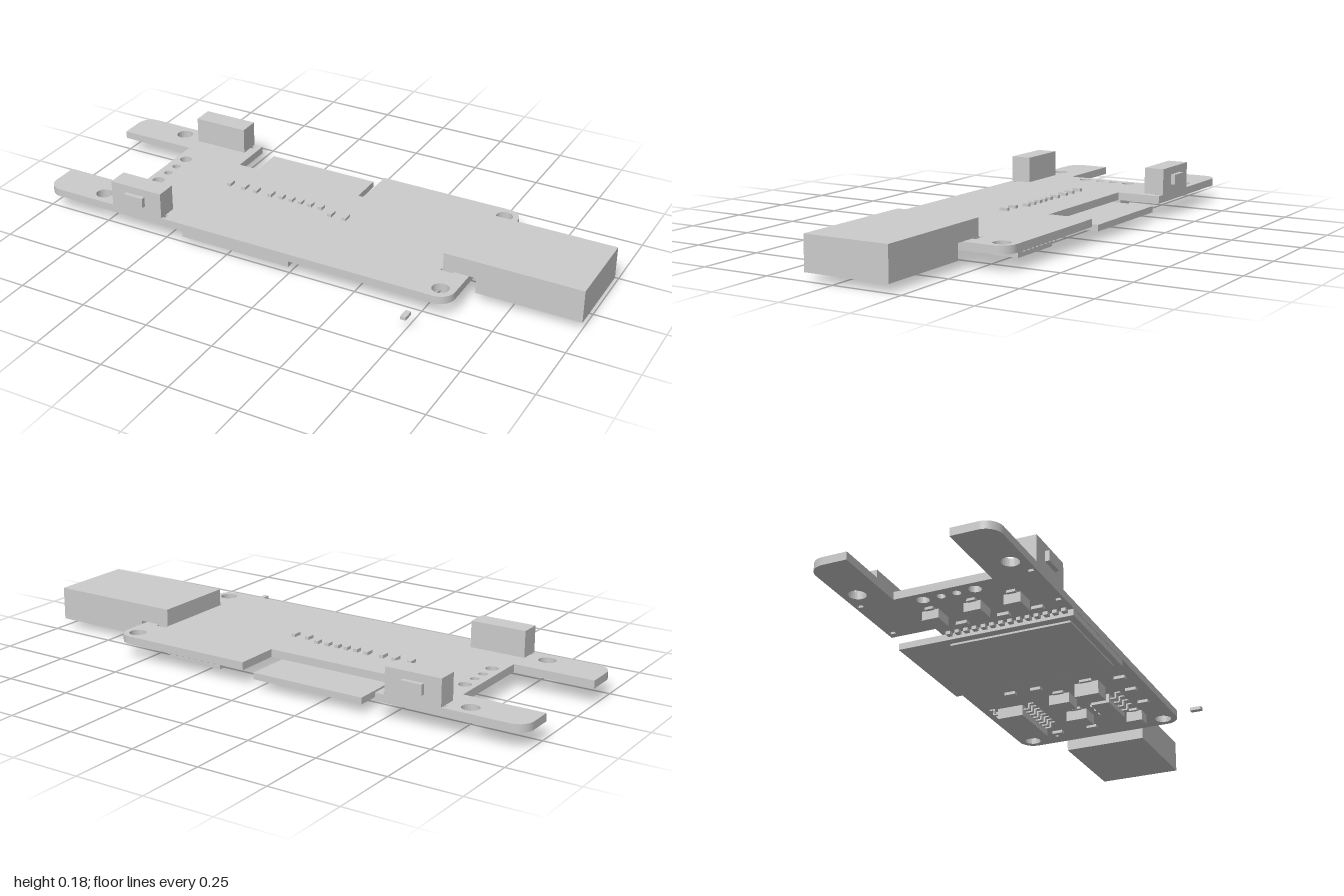
import * as THREE from 'three';

export function createModel() {
  const model = new THREE.Group();
  const mat = new THREE.MeshStandardMaterial({ color: 0xcccccc, flatShading: true });
  const TOP = 0.085, BOTTOM = 0.057;

  const add = (name, geometry, parent = model) => {
    const mesh = new THREE.Mesh(geometry, mat);
    mesh.name = name;
    parent.add(mesh);
    return mesh;
  };
  // Box given by its limits on each axis
  const box = (name, x0, x1, y0, y1, z0, z1, parent = model) => {
    const mesh = add(name, new THREE.BoxGeometry(x1 - x0, y1 - y0, z1 - z0), parent);
    mesh.position.set((x0 + x1) / 2, (y0 + y1) / 2, (z0 + z1) / 2);
    return mesh;
  };
  const group = (name) => {
    const g = new THREE.Group();
    g.name = name;
    model.add(g);
    return g;
  };

  // Board outline in x, z: slot at the left end, notch at the back, rounded outer corners
  const r = 0.055;
  const s = new THREE.Shape();
  s.moveTo(-1 + r, -0.37);
  s.lineTo(-0.47, -0.37);
  s.lineTo(-0.47, -0.205);
  s.lineTo(0.05, -0.205);
  s.lineTo(0.05, -0.37);
  s.lineTo(0.6 - r, -0.37);
  s.absarc(0.6 - r, -0.37 + r, r, -Math.PI / 2, 0, false);
  s.lineTo(0.6, 0.27 - r);
  s.absarc(0.6 - r, 0.27 - r, r, 0, Math.PI / 2, false);
  s.lineTo(-1 + r, 0.27);
  s.absarc(-1 + r, 0.27 - r, r, Math.PI / 2, Math.PI, false);
  s.lineTo(-1, 0.12);
  s.lineTo(-0.71, 0.12);
  s.lineTo(-0.71, -0.23);
  s.lineTo(-1, -0.23);
  s.lineTo(-1, -0.37 + r);
  s.absarc(-1 + r, -0.37 + r, r, Math.PI, Math.PI * 1.5, false);

  // Mounting holes, wire holes and small slots for the connector and button legs
  const hole = (x, z, radius) => s.holes.push(new THREE.Path().absarc(x, z, radius, 0, Math.PI * 2, true));
  for (const x of [-0.785, 0.548]) for (const z of [-0.318, 0.217]) hole(x, z, 0.03);
  for (const [z, q] of [[-0.145, 0.022], [-0.08, 0.015], [-0.025, 0.015], [0.04, 0.022]]) hole(-0.67, z, q);
  const slot = (x0, x1, z0, z1) => s.holes.push(new THREE.Path([[x0, z0], [x0, z1], [x1, z1], [x1, z0]]
    .map(([x, z]) => new THREE.Vector2(x, z))));
  for (const z of [-0.22, 0.1]) slot(0.5, 0.545, z, z + 0.014);
  for (const x of [-0.718, -0.508]) for (const z of [-0.36, 0.24]) slot(x, x + 0.014, z, z + 0.02);
  const boardGeo = new THREE.ExtrudeGeometry(s, { depth: TOP - BOTTOM, bevelEnabled: false, curveSegments: 12 });
  boardGeo.rotateX(Math.PI / 2);
  add('circuitBoard', boardGeo).position.y = TOP;

  // End connector: stepped block resting on the board and dropping past its edge
  const profile = new THREE.Shape([[0.505, TOP], [0.625, TOP], [0.625, 0.028], [1, 0.028], [1, 0.147], [0.505, 0.147]]
    .map(([x, y]) => new THREE.Vector2(x, y)));
  add('connector', new THREE.ExtrudeGeometry(profile, { depth: 0.31, bevelEnabled: false })).position.z = -0.205;

  // Side push buttons with plungers facing outwards
  for (const [side, z0, z1, p0, p1] of [['front', 0.195, 0.27, 0.27, 0.286], ['back', -0.37, -0.295, -0.386, -0.37]]) {
    const b = group(side + 'Button');
    box('buttonBody', -0.71, -0.505, TOP, 0.18, z0, z1, b);
    box('plunger', -0.648, -0.572, 0.115, 0.152, p0, p1, b);
  }

  // Row of tiny parts on the top face
  const row = group('topRow');
  [-0.42, -0.36, -0.31, -0.25, -0.205, -0.165, -0.128, -0.088, -0.045, 0.008, 0.065].forEach((x, i) => {
    const d = i < 4 || i > 8 ? 0.016 : 0.012, z = i > 8 ? -0.036 : -0.06;
    box('topPart', x - 0.008, x + 0.008, TOP, TOP + 0.011, z - d, z + d, row);
  });

  // Radio module under the board, with shield and edge pads
  const radio = group('radioModule');
  box('moduleBoard', -0.42, 0.005, 0.034, BOTTOM, -0.37, 0.268, radio);
  box('moduleShield', -0.39, -0.02, 0.027, 0.034, -0.19, 0.245, radio);
  for (let i = 0; i < 14; i++) {
    const z = -0.175 + i * 0.032;
    box('padLeft', -0.44, -0.42, 0.045, BOTTOM, z - 0.008, z + 0.008, radio);
    box('padRight', 0.005, 0.03, 0.045, BOTTOM, z - 0.008, z + 0.008, radio);
  }

  // Chips with bent leads along their front and back sides
  const chip = (name, x, z, w, d, low, pins) => {
    const g = group(name);
    box('chipBody', x - w / 2, x + w / 2, low, 0.05, z - d / 2, z + d / 2, g);
    for (let i = 0; i < pins; i++) {
      const px = x - w / 2 + (i + 0.5) * w / pins;
      for (const k of [-1, 1]) {
        const edge = z + k * d / 2, out = edge + k * 0.02, foot = edge + k * 0.038, h = w / pins / 5;
        box('leadArm', px - h, px + h, 0.032, 0.037, Math.min(edge, out), Math.max(edge, out), g);
        box('leadLeg', px - h, px + h, 0.034, BOTTOM, out - 0.003, out + 0.003, g);
        box('leadFoot', px - h, px + h, 0.052, BOTTOM, Math.min(out, foot), Math.max(out, foot), g);
      }
    }
  };
  chip('largeChip', 0.31, -0.25, 0.22, 0.1, 0.01, 8);
  chip('smallChip', 0.31, 0.09, 0.15, 0.07, 0.016, 4);

  // Larger block parts under the board, each on a wider foot
  for (const [x, z, w, d, low] of [
    [0.145, 0.09, 0.07, 0.09, 0.0], [0.445, 0.15, 0.05, 0.06, 0.012],
    [0.36, -0.04, 0.07, 0.08, 0.012], [0.2, -0.04, 0.07, 0.08, 0.012],
    [-0.575, 0.14, 0.07, 0.06, 0.015], [-0.575, 0.0, 0.07, 0.06, 0.018], [-0.575, -0.15, 0.07, 0.06, 0.018]]) {
    const g = group('blockPart');
    box('blockBody', x - w / 2, x + w / 2, low, 0.05, z - d / 2, z + d / 2, g);
    box('blockFoot', x - w / 2 - 0.012, x + w / 2 + 0.012, 0.048, BOTTOM, z - d / 4, z + d / 4, g);
  }

  // Scattered small parts under the board
  const small = group('smallParts');
  for (const [x, z] of [[0.5, -0.19], [0.5, -0.05], [0.1, -0.1], [0.1, -0.2], [0.24, 0.21], [0.36, 0.21],
    [0.13, 0.21], [-0.48, -0.1], [-0.48, 0.05], [-0.48, 0.17]])
    box('smallPart', x - 0.01, x + 0.01, 0.046, BOTTOM, z - 0.02, z + 0.02, small);

  // Loose small part beside the board
  box('loosePart', 0.485, 0.505, 0.043, 0.055, 0.345, 0.386);

  return model;
}
